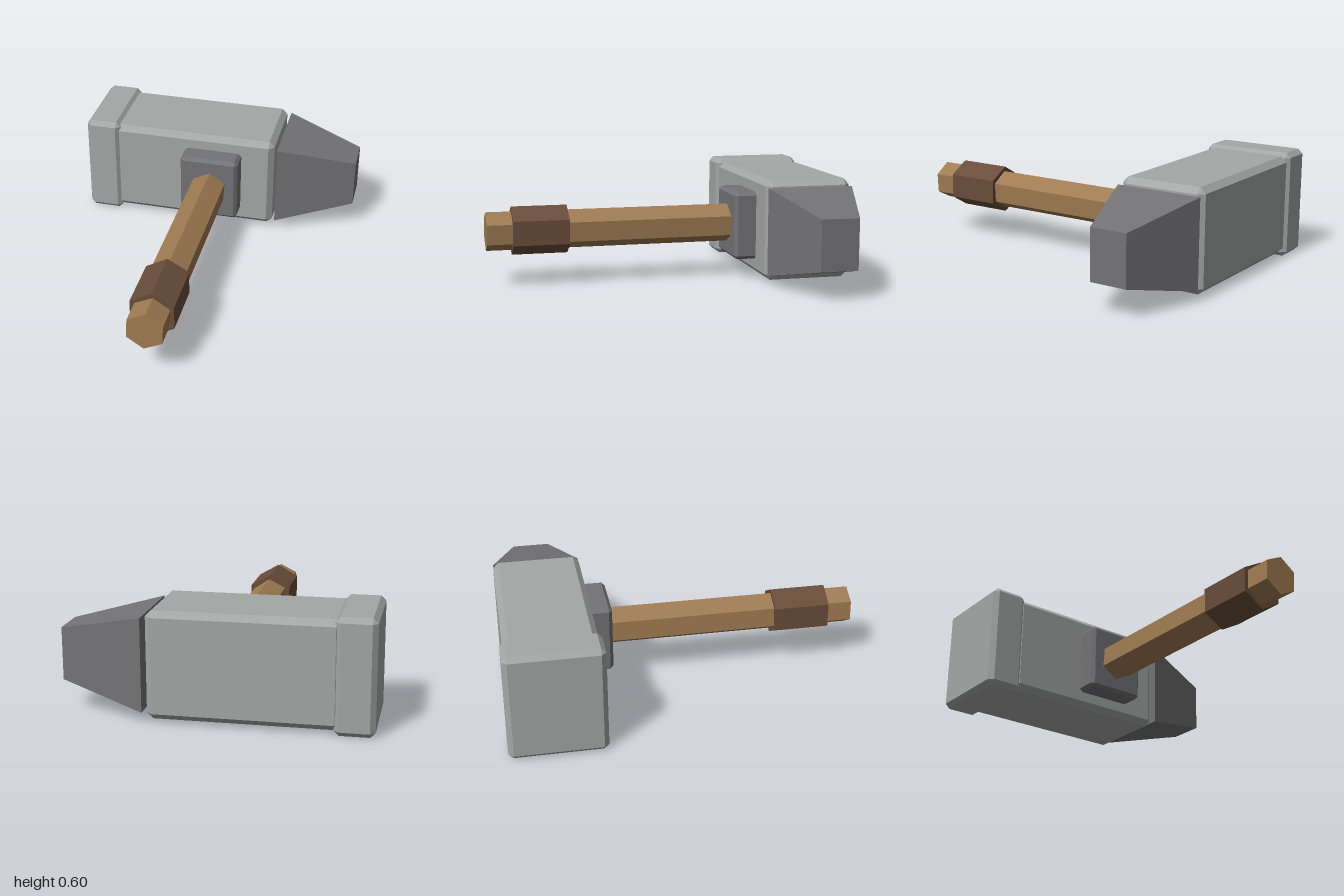
import * as THREE from 'three';
import { ConvexGeometry } from 'three/addons/geometries/ConvexGeometry.js';

const material = (name, color) => {
  const m = new THREE.MeshStandardMaterial({ color });
  m.name = name;
  return m;
};

// Box between two corners with every edge chamfered by c
function chamferBox(min, max, c) {
  const points = [];
  for (const sx of [0, 1]) for (const sy of [0, 1]) for (const sz of [0, 1]) {
    const signs = [sx, sy, sz];
    for (let face = 0; face < 3; face++) {
      const p = signs.map((s, i) => {
        const inset = i === face ? 0 : c;
        return s ? max[i] - inset : min[i] + inset;
      });
      points.push(new THREE.Vector3(...p));
    }
  }
  return new ConvexGeometry(points);
}

// Hexagonal bar along z with a corner pointing up, turned by twist
function hexBar(radius, z0, z1, twist) {
  const g = new THREE.CylinderGeometry(radius, radius, z1 - z0, 6).toNonIndexed();
  g.rotateX(-Math.PI / 2);
  g.rotateZ(-twist);
  g.translate(-0.027, 0.298, (z0 + z1) / 2);
  g.computeVertexNormals();
  return g;
}

export function createModel() {
  const group = new THREE.Group();
  const steel = material('light steel', 0xa4a7a5);
  const darkSteel = material('dark steel', 0x737376);
  const wood = material('wood', 0x9f7b52);
  const leather = material('leather', 0x694d3a);

  const add = (name, geometry, mat) => {
    const mesh = new THREE.Mesh(geometry, mat);
    mesh.name = name;
    group.add(mesh);
  };

  // Head block and the wider striking face
  add('headBlock', chamferBox([-0.64, 0.02, -0.985], [0.335, 0.577, -0.5], 0.032), steel);
  add('strikingFace', chamferBox([-0.807, 0, -1], [-0.603, 0.595, -0.485], 0.026), steel);

  // Tapered peen, from a large rectangle to a small one
  const peen = [];
  for (const [x, y0, y1, z0, z1] of [
    [0.355, 0.055, 0.54, -0.983, -0.5],
    [0.805, 0.16, 0.436, -0.845, -0.638],
  ]) for (const y of [y0, y1]) for (const z of [z0, z1]) peen.push(new THREE.Vector3(x, y, z));
  add('peen', new ConvexGeometry(peen), darkSteel);

  // Collar where the handle meets the head
  add('collar', chamferBox([-0.2, 0.108, -0.52], [0.143, 0.49, -0.377], 0.019), darkSteel);

  // Handle and grip wrap
  add('handle', hexBar(0.109, -0.5, 1, 0.06), wood);
  add('grip', hexBar(0.135, 0.55, 0.86, 0), leather);

  return group;
}
